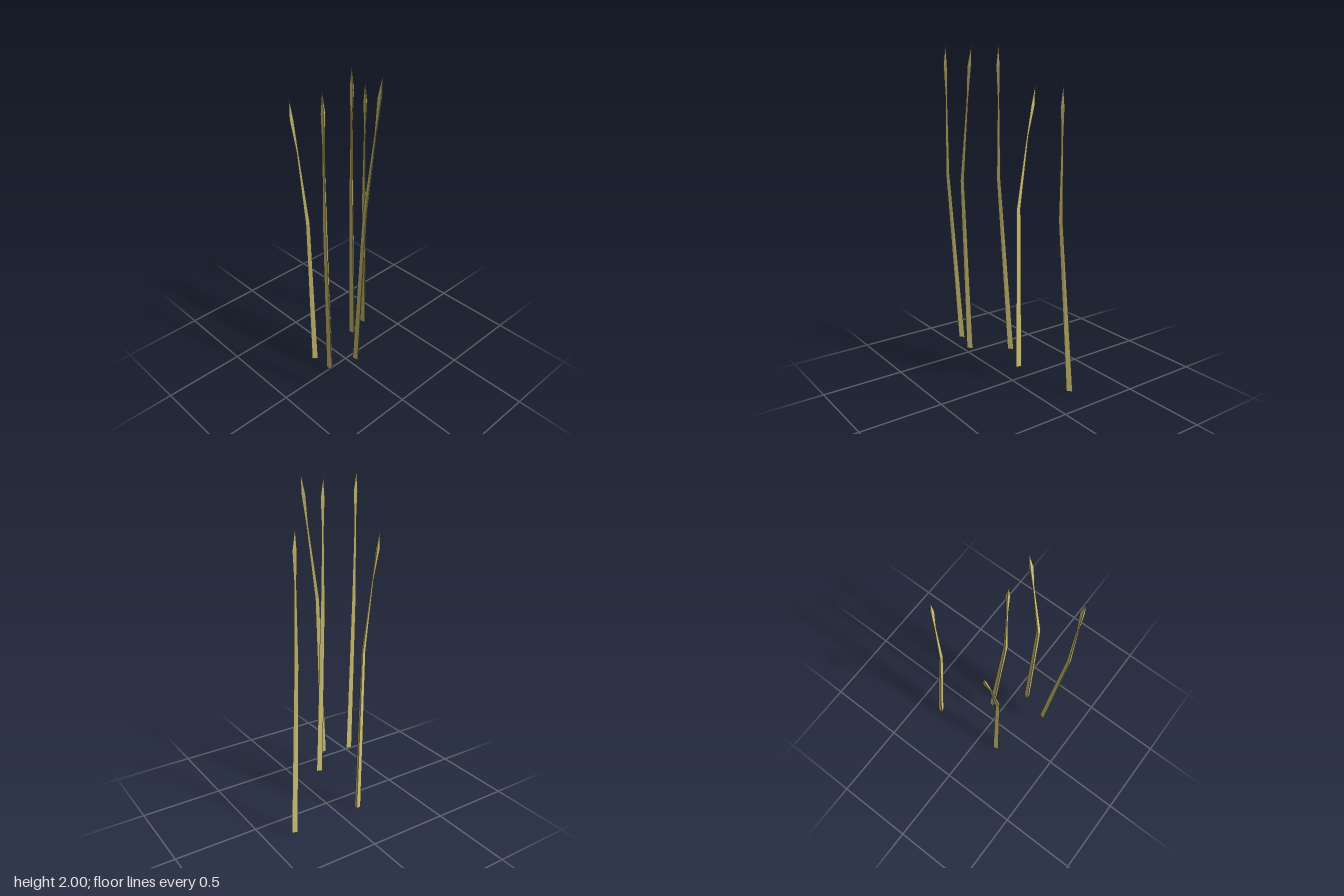
import * as THREE from 'three';

const straw = new THREE.MeshStandardMaterial({ color: 0xd2c57a });
straw.name = 'straw';

// Three-sided stalk lofted through sections [y, x, z, radius, ridge angle in degrees]
function stalkGeometry(sections) {
  const rings = sections.map(([y, x, z, r, deg]) =>
    [0, 1, 2].map((i) => {
      const a = THREE.MathUtils.degToRad(deg + i * 120);
      return [x + Math.cos(a) * r, y, z + Math.sin(a) * r];
    }));
  const pos = [];
  const tri = (...points) => points.forEach((p) => pos.push(...p));
  tri(...rings[0]); // cut base
  for (let s = 0; s < rings.length - 1; s++) {
    const lo = rings[s], hi = rings[s + 1];
    const pointed = s === rings.length - 2;
    for (let i = 0; i < 3; i++) {
      const j = (i + 1) % 3;
      tri(lo[i], hi[i], lo[j]);
      if (!pointed) tri(lo[j], hi[i], hi[j]);
    }
  }
  const geo = new THREE.BufferGeometry();
  geo.setAttribute('position', new THREE.Float32BufferAttribute(pos, 3));
  geo.computeVertexNormals();
  return geo;
}

// Sections run base, bend, neck, head, tip
const upright = [
  [0, 0.033, -0.031, 0.0215, -101],
  [1.02, 0.074, 0.025, 0.0145, -90],
  [1.46, 0.073, 0.026, 0.0075, -90],
  [1.64, 0.074, 0.025, 0.0145, -90],
  [1.765, 0.072, 0.029, 0, -90],
];
const bentBack = [
  [0, 0.221, 0.122, 0.0215, -101],
  [1.02, 0.262, 0.109, 0.0145, -90],
  [1.46, 0.263, 0.045, 0.0075, -90],
  [1.64, 0.262, 0.02, 0.0145, -90],
  [1.765, 0.26, 0.0, 0, -90],
];
const bentSide = [
  [0, -0.143, 0.136, 0.022, -15],
  [1.03, -0.153, 0.15, 0.0145, -11],
  [1.46, -0.22, 0.151, 0.0065, -11],
  [1.64, -0.258, 0.151, 0.0135, -11],
  [1.76, -0.276, 0.15, 0, -11],
];

export function createModel() {
  const group = new THREE.Group();
  group.name = 'reeds';
  const uprightGeo = stalkGeometry(upright);
  const stalks = [
    ['centreStalk', uprightGeo, [0, 0.23, 0]],
    ['frontStalk', uprightGeo, [0.14, 0.23, 0.32]],
    ['backStalk', uprightGeo, [-0.204, 0.02, -0.304]],
    ['leftBentStalk', stalkGeometry(bentBack), [0, 0.23, 0]],
    ['rightBentStalk', stalkGeometry(bentSide), [0, 0, 0]],
  ];
  for (const [name, geo, position] of stalks) {
    const mesh = new THREE.Mesh(geo, straw);
    mesh.name = name;
    mesh.position.set(...position);
    group.add(mesh);
  }
  return group;
}
